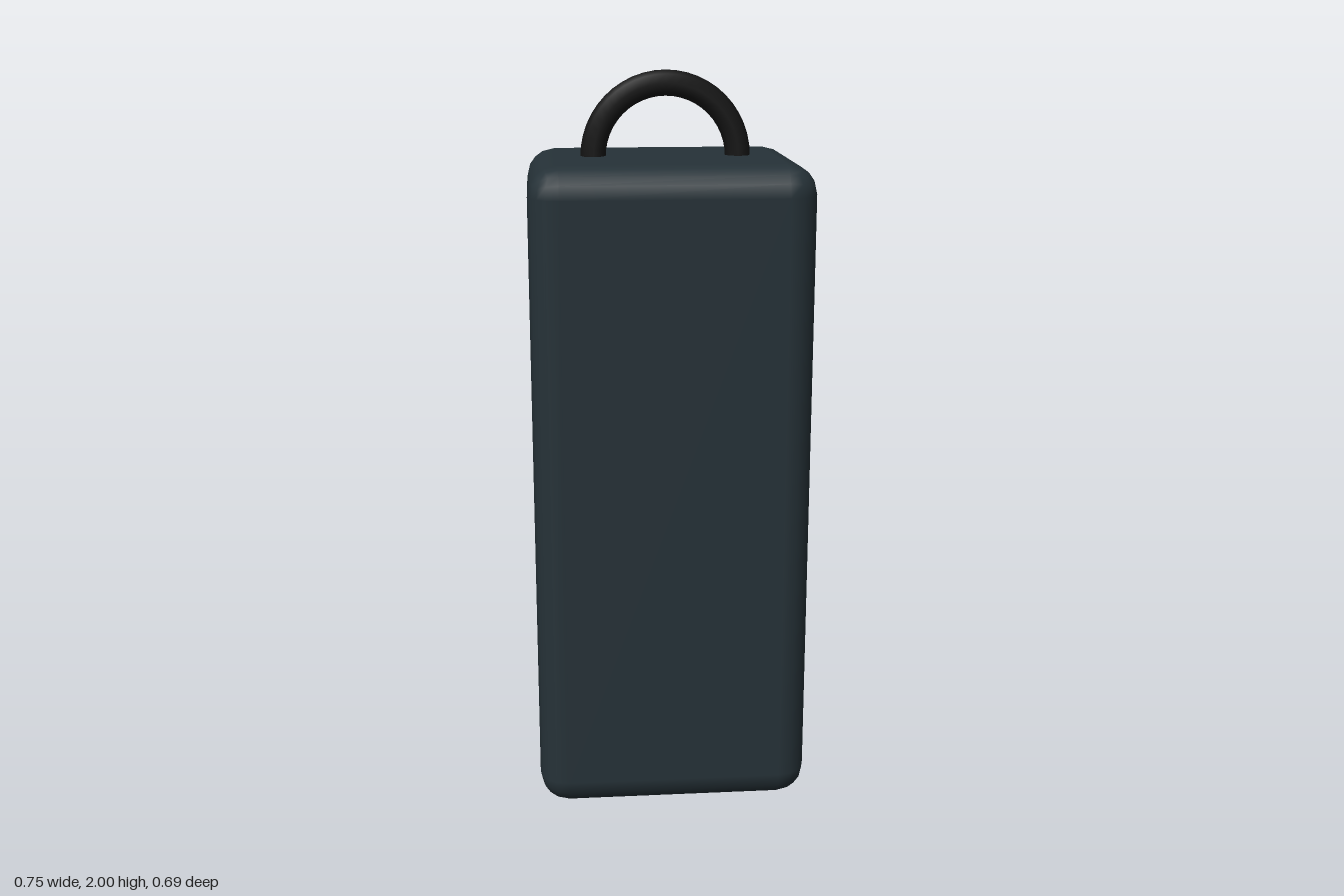
import * as THREE from 'three';
import { RoundedBoxGeometry } from 'three/addons/geometries/RoundedBoxGeometry.js';

const paint = (color) => new THREE.MeshStandardMaterial({ color });
const shell = paint(0x263238);
const black = paint(0x151515);
const cyan = paint(0x00bcd4);
const metal = paint(0x78858b);

const BACK = -0.285; // z of the panel that carries the speakers

function add(parent, name, geometry, material, x, y, z) {
  const mesh = new THREE.Mesh(geometry, material);
  mesh.name = name;
  mesh.position.set(x, y, z);
  parent.add(mesh);
  return mesh;
}

// Disc lying in the xy plane, spanning z0 to z1
function disc(radius, z0, z1) {
  return new THREE.CylinderGeometry(radius, radius, z1 - z0, 32)
    .rotateX(Math.PI / 2)
    .translate(0, 0, (z0 + z1) / 2);
}

// Speaker: dark cone plate, coloured rim and raised centre cap
function speaker(name, y, ringRadius, capRadius) {
  const group = new THREE.Group();
  group.name = name;
  group.position.set(0, y, BACK);
  add(group, 'cone', disc(ringRadius, -0.035, 0.01), black, 0, 0, 0);
  add(group, 'rim', new THREE.TorusGeometry(ringRadius, 0.0235, 6, 40), cyan, 0, 0, -0.029);
  add(group, 'centreCap', disc(capRadius, -0.064, -0.03), metal, 0, 0, 0);
  return group;
}

export function createModel() {
  const model = new THREE.Group();
  model.name = 'portableSpeaker';

  // Rounded cabinet
  add(model, 'cabinet', new RoundedBoxGeometry(0.746, 1.775, 0.63, 2, 0.08), shell, 0, 0.8875, 0.03);

  // Arched carrying handle
  add(model, 'handle', new THREE.TorusGeometry(0.195, 0.034, 8, 24, Math.PI), black, 0, 1.771, 0.03);

  // Two speakers and the control strip above them
  model.add(speaker('lowerSpeaker', 0.507, 0.256, 0.077));
  model.add(speaker('upperSpeaker', 1.244, 0.176, 0.053));
  add(model, 'controlStrip', new THREE.BoxGeometry(0.396, 0.08, 0.04), cyan, 0, 1.598, BACK - 0.008);

  return model;
}
